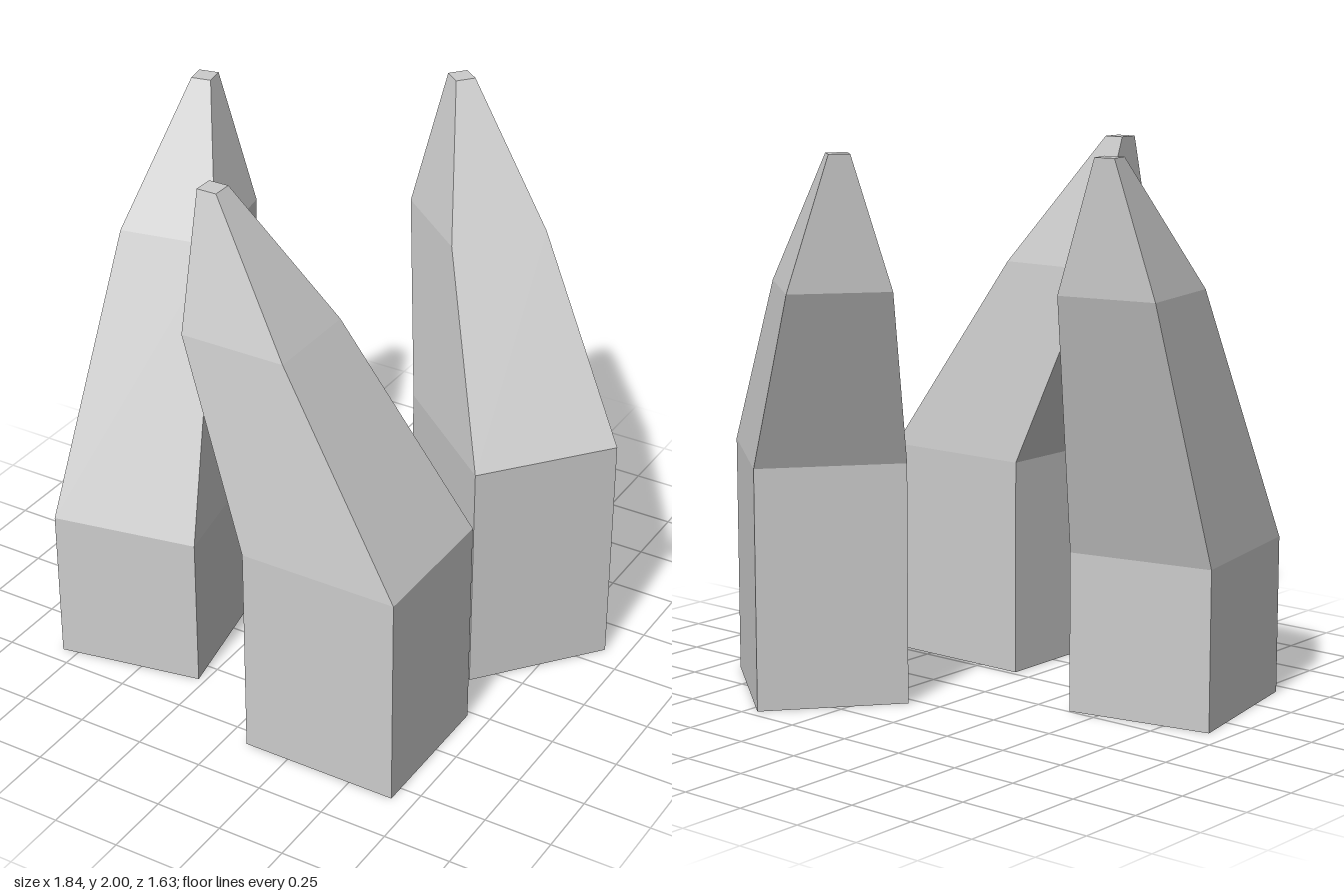
import * as THREE from 'three';

// Rectangular cross-section at height y: x from inner to outer, z from -half to half
const ring = (y, inner, outer, half) => [
  [inner, y, -half], [inner, y, half], [outer, y, half], [outer, y, -half],
];

// Faceted solid lofted through four-sided rings, capped at both ends
function loft(rings) {
  const pos = [];
  const quad = (a, b, c, d) => pos.push(...a, ...b, ...c, ...a, ...c, ...d);
  for (let r = 0; r < rings.length - 1; r++) {
    for (let i = 0; i < 4; i++) {
      const j = (i + 1) % 4;
      quad(rings[r][i], rings[r][j], rings[r + 1][j], rings[r + 1][i]);
    }
  }
  quad(...rings[rings.length - 1]);
  quad(...[...rings[0]].reverse());
  const geo = new THREE.BufferGeometry();
  geo.setAttribute('position', new THREE.Float32BufferAttribute(pos, 3));
  geo.computeVertexNormals();
  return geo;
}

export function createModel() {
  const group = new THREE.Group();
  group.name = 'clawSpikes';
  const material = new THREE.MeshStandardMaterial({ color: 0xcccccc, flatShading: true });

  // Each claw has an upright base block, then bends inward and tapers to a blunt tip
  const addClaw = (name, x, z, angle, shoulder) => {
    const claw = new THREE.Mesh(loft([
      ring(0, -0.295, 0.295, 0.272),
      ring(shoulder, -0.295, 0.295, 0.272),
      ring(1.53, -0.575, -0.18, 0.182),
      ring(2, -0.595, -0.52, 0.037),
    ]), material);
    claw.name = name;
    claw.position.set(x, 0, z);
    claw.rotation.y = angle;
    group.add(claw);
  };

  addClaw('frontClaw', 0.375, 0.543, 0, 0.8);
  addClaw('backLeftClaw', 0.516, -0.316, -0.68, 0.88);
  addClaw('rightClaw', -0.599, 0.346, -1.38, 0.58);
  return group;
}
